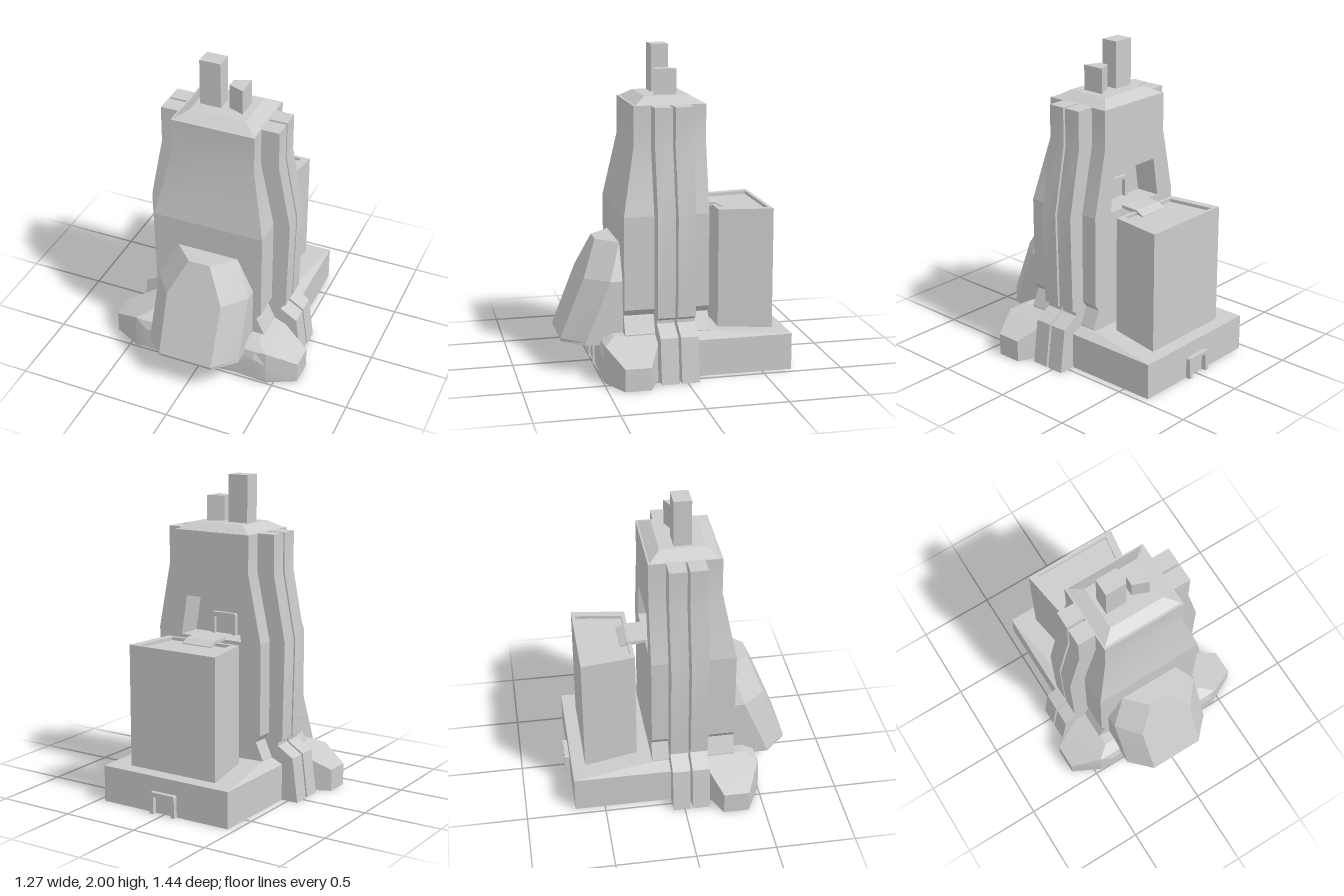
import * as THREE from 'three';
import { toCreasedNormals } from 'three/addons/utils/BufferGeometryUtils.js';

// The hull is hollow and open underneath, so both sides show
const material = new THREE.MeshStandardMaterial({ color: 0xcccccc, side: THREE.DoubleSide });

function addMesh(parent, name, geometry) {
  const mesh = new THREE.Mesh(toCreasedNormals(geometry, 0.24), material);
  mesh.name = name;
  parent.add(mesh);
  return mesh;
}

// Skin between matching rings of points; start and end close the two ends,
// skip leaves out one side of every ring.
function loft(rings, { start = true, end = true, skip = -1 } = {}) {
  const pos = [];
  const tri = (a, b, c) => pos.push(...a, ...b, ...c);
  const n = rings[0].length;
  for (let r = 0; r < rings.length - 1; r++) {
    const a = rings[r], b = rings[r + 1];
    for (let i = 0; i < n; i++) {
      if (i === skip) continue;
      const j = (i + 1) % n;
      tri(a[i], a[j], b[j]);
      tri(a[i], b[j], b[i]);
    }
  }
  const first = rings[0], last = rings[rings.length - 1];
  for (let i = 1; i < n - 1; i++) {
    if (start) tri(first[0], first[i + 1], first[i]);
    if (end) tri(last[0], last[i], last[i + 1]);
  }
  const g = new THREE.BufferGeometry();
  g.setAttribute('position', new THREE.Float32BufferAttribute(pos, 3));
  return g;
}

// Horizontal trapezoid ring: half widths at front and back edges
const quad = (y, front, zf, back, zb) =>
  [[front, y, zf], [back, y, zb], [-back, y, zb], [-front, y, zf]];

const shapeOf = (pts) => new THREE.Shape(pts.map(([x, y]) => new THREE.Vector2(x, y)));

const extrude = (shape, depth) => new THREE.ExtrudeGeometry(shape, { depth, bevelEnabled: false });

// Small door frame, open at the bottom
function doorFrame(parent, name, y, z, depth) {
  const frame = shapeOf([
    [-0.09, 0], [-0.065, 0], [-0.065, 0.105], [-0.055, 0.115], [0.055, 0.115], [0.065, 0.105],
    [0.065, 0], [0.09, 0], [0.09, 0.13], [0.083, 0.137], [-0.083, 0.137], [-0.09, 0.13],
  ]);
  addMesh(parent, name, extrude(frame, depth)).position.set(0, y, z);
}

export function createModel() {
  const model = new THREE.Group();
  model.name = 'tower';

  // Main tower shell: [y, half width, front z]; the back wall is separate
  const backZ = -0.18;
  const profile = [
    [0.25, 0.38, 0.35], [0.27, 0.38, 0.35], [0.38, 0.33, 0.35], [0.42, 0.36, 0.35],
    [1.0, 0.36, 0.35], [1.42, 0.27, 0.27], [1.66, 0.27, 0.27],
  ];
  const shellRings = profile.map(([y, w, zf]) => quad(y, w, zf, w, backZ));
  addMesh(model, 'lowerShell', loft(shellRings.slice(0, 5), { start: false, end: false, skip: 1 }));
  addMesh(model, 'upperShell', loft(shellRings.slice(4), { start: false, skip: 1 }));

  // Back wall with a trapezoid opening
  const opening = [[-0.22, 1.0], [-0.18, 1.25], [0.18, 1.25], [0.22, 1.0]];
  const wall = shapeOf([
    ...profile.map(([y, w]) => [w, y]),
    ...[...profile].reverse().map(([y, w]) => [-w, y]),
  ]);
  wall.holes.push(new THREE.Path(opening.map(([x, y]) => new THREE.Vector2(x, y))));
  const wallGeometry = new THREE.ShapeGeometry(wall);
  wallGeometry.rotateY(Math.PI);
  addMesh(model, 'towerBackWall', wallGeometry).position.z = backZ;

  // Alcove behind the opening, with its doorway
  addMesh(model, 'alcove',
    loft([backZ, -0.02].map((z) => opening.map(([x, y]) => [x, y, z])), { start: false }));
  doorFrame(model, 'alcoveDoorFrame', 1.0, -0.045, 0.025);

  // Roof cap and the two masts
  addMesh(model, 'roofCap',
    loft([quad(1.66, 0.26, 0.255, 0.26, -0.17), quad(1.705, 0.18, 0.185, 0.18, -0.1)]));
  addMesh(model, 'tallMast', new THREE.BoxGeometry(0.137, 0.3, 0.11)).position.set(-0.086, 1.85, 0.045);
  addMesh(model, 'shortMast', loft([1.7, 1.863].map((y) =>
    [[0.13, y, 0.117], [0.13, y, -0.027], [0.03, y, 0.017], [0.03, y, 0.077]])));

  // Paired buttress ribs on both sides
  const rib = [
    [0.44, 0], [0.567, 0], [0.53, 0.28], [0.425, 0.345], [0.425, 0.365], [0.455, 0.385],
    [0.467, 1.0], [0.385, 1.42], [0.385, 1.66], [0.26, 1.66], [0.26, 1.42],
    [0.34, 1.0], [0.32, 0.38], [0.36, 0.27], [0.44, 0.2],
  ];
  for (const side of [1, -1]) {
    for (const z of [-0.073, 0.053]) {
      const pts = rib.map(([x, y]) => [x * side, y]);
      addMesh(model, side > 0 ? 'leftRib' : 'rightRib', extrude(shapeOf(pts), 0.11)).position.z = z;
    }
  }

  // Rear platform, open underneath, rising slightly to the tower
  const platform = (yBack, yMid, wMid) => [
    [wMid, yMid, 0.16], [wMid, yMid, backZ], [0.455, yBack, -0.69],
    [-0.455, yBack, -0.69], [-wMid, yMid, backZ], [-wMid, yMid, 0.16],
  ];
  addMesh(model, 'rearPlatform', loft(
    [platform(0, 0, 0.455), platform(0.23, 0.23, 0.455), platform(0.23, 0.265, 0.38)],
    { start: false, skip: 5 }));
  doorFrame(model, 'rearDoorFrame', 0, -0.72, 0.03);

  // Storage block with a shallow sunken top
  addMesh(model, 'storageBlock', loft([
    quad(0.2, 0.26, -0.265, 0.31, -0.605),
    quad(1.0, 0.26, -0.265, 0.31, -0.605),
    quad(1.0, 0.215, -0.29, 0.255, -0.583),
    quad(0.98, 0.215, -0.29, 0.255, -0.583),
  ], { start: false }));

  // Thin bridge from the alcove, its end ramping down into the sunken top
  addMesh(model, 'bridge', loft([-0.105, 0.105].map((x) => [
    [x, 0.98, -0.34], [x, 0.985, -0.34], [x, 1.012, -0.29],
    [x, 1.017, -0.17], [x, 1.0, -0.17], [x, 0.998, -0.29],
  ])));

  // Front footing, open underneath: cross-sections [z, y] outwards from the middle
  const sections = [
    [0.08, [[0.16, 0], [0.16, 0.265], [0.42, 0.265], [0.47, 0.225], [0.49, 0.13], [0.49, 0.02], [0.485, 0]]],
    [0.375, [[0.16, 0], [0.16, 0.265], [0.42, 0.265], [0.49, 0.23], [0.508, 0.18], [0.508, 0.025], [0.47, 0]]],
    [0.455, [[0.16, 0], [0.16, 0.23], [0.485, 0.23], [0.485, 0.23], [0.495, 0.14], [0.495, 0.02], [0.49, 0]]],
    [0.635, [[0.24, 0], [0.24, 0.14], [0.4, 0.14], [0.4, 0.14], [0.4, 0.12], [0.4, 0.02], [0.4, 0]]],
  ];
  const slice = (side) => ([x, pts]) => pts.map(([z, y]) => [x * side, y, z]);
  addMesh(model, 'frontFooting',
    loft([...[...sections].reverse().map(slice(-1)), ...sections.map(slice(1))], { skip: 6 }));
  doorFrame(model, 'frontDoorFrame', 0, 0.48, 0.025);

  // Faceted cowl leaning on the front: [y, side width, side z, face width, face z]
  const cowl = [
    [0.195, 0.305, 0.585, 0.176, 0.715],
    [0.215, 0.305, 0.58, 0.176, 0.72],
    [0.59, 0.305, 0.425, 0.182, 0.57],
    [0.81, 0.2, 0.35, 0.07, 0.48],
  ];
  addMesh(model, 'frontCowl', loft(cowl.map(([y, ws, zs, wf, zf]) => [
    [wf, y, zf], [ws, y, zs], [ws, y, 0.34], [-ws, y, 0.34], [-ws, y, zs], [-wf, y, zf],
  ])));

  return model;
}
